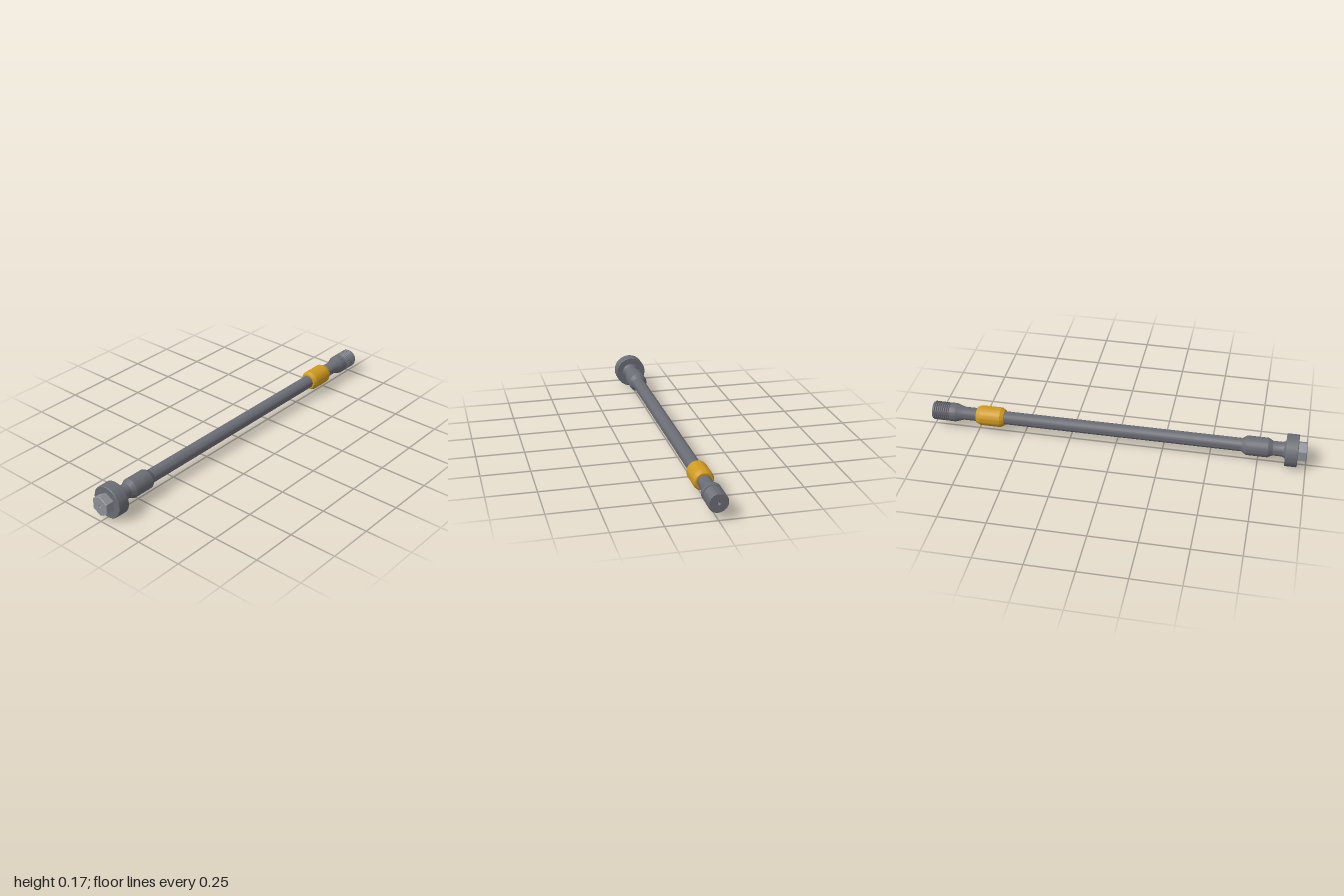
import * as THREE from 'three';
import { toCreasedNormals } from 'three/addons/utils/BufferGeometryUtils.js';

const AXIS_Y = 0.085;

const steel = new THREE.MeshStandardMaterial({ color: 0x6b6d75 });
const brightSteel = new THREE.MeshStandardMaterial({ color: 0x8c9096 });
const amber = new THREE.MeshStandardMaterial({ color: 0xd09a20 });

// Turned part along x; profile is a list of [x, radius] from -x to +x
function turned(name, profile, material, sides = 48, crease = 0.4) {
  const points = profile.map(([x, r]) => new THREE.Vector2(r, x));
  const geometry = new THREE.LatheGeometry(points, sides, Math.PI / 2);
  const mesh = new THREE.Mesh(toCreasedNormals(geometry, crease), material);
  mesh.name = name;
  mesh.rotation.z = -Math.PI / 2;
  mesh.position.y = AXIS_Y;
  return mesh;
}

export function createModel() {
  const group = new THREE.Group();
  group.name = 'torsionShaft';

  // Hexagonal drive head with a centre-drilled end
  group.add(turned('hexHead', [
    [-0.985, 0], [-1, 0.009], [-1, 0.051], [-0.997, 0.054], [-0.95, 0.054],
  ], brightSteel, 6));

  // Flange with small edge chamfers
  group.add(turned('flange', [
    [-0.955, 0], [-0.955, 0.082], [-0.952, 0.085],
    [-0.893, 0.085], [-0.89, 0.082], [-0.89, 0],
  ], steel, 64));

  // Fillet, neck, swollen shoulder, long bar and flared end
  group.add(turned('shaft', [
    [-0.892, 0.052], [-0.888, 0.046], [-0.882, 0.041], [-0.872, 0.038],
    [-0.825, 0.038], [-0.8, 0.051], [-0.69, 0.051], [-0.665, 0.035],
    [0.83, 0.035], [0.865, 0.047], [0.875, 0.05], [0.905, 0.05], [0.905, 0],
  ], steel));

  // Coloured sleeve with tapered ends
  group.add(turned('sleeve', [
    [0.605, 0.034], [0.605, 0.043], [0.625, 0.053],
    [0.735, 0.053], [0.757, 0.043], [0.757, 0.034],
  ], amber));

  // Threaded end: a row of ridges, then a centre-drilled face
  const thread = [[0.903, 0.045]];
  const ridges = 8, start = 0.906, pitch = 0.0112;
  for (let i = 0; i < ridges; i++) {
    const x = start + i * pitch;
    thread.push([x, 0.045], [x + pitch * 0.35, 0.05],
      [x + pitch * 0.6, 0.05], [x + pitch * 0.95, 0.045]);
  }
  thread.push([1, 0.045], [1, 0.009], [0.985, 0]);
  group.add(turned('threadedEnd', thread, steel));

  return group;
}
